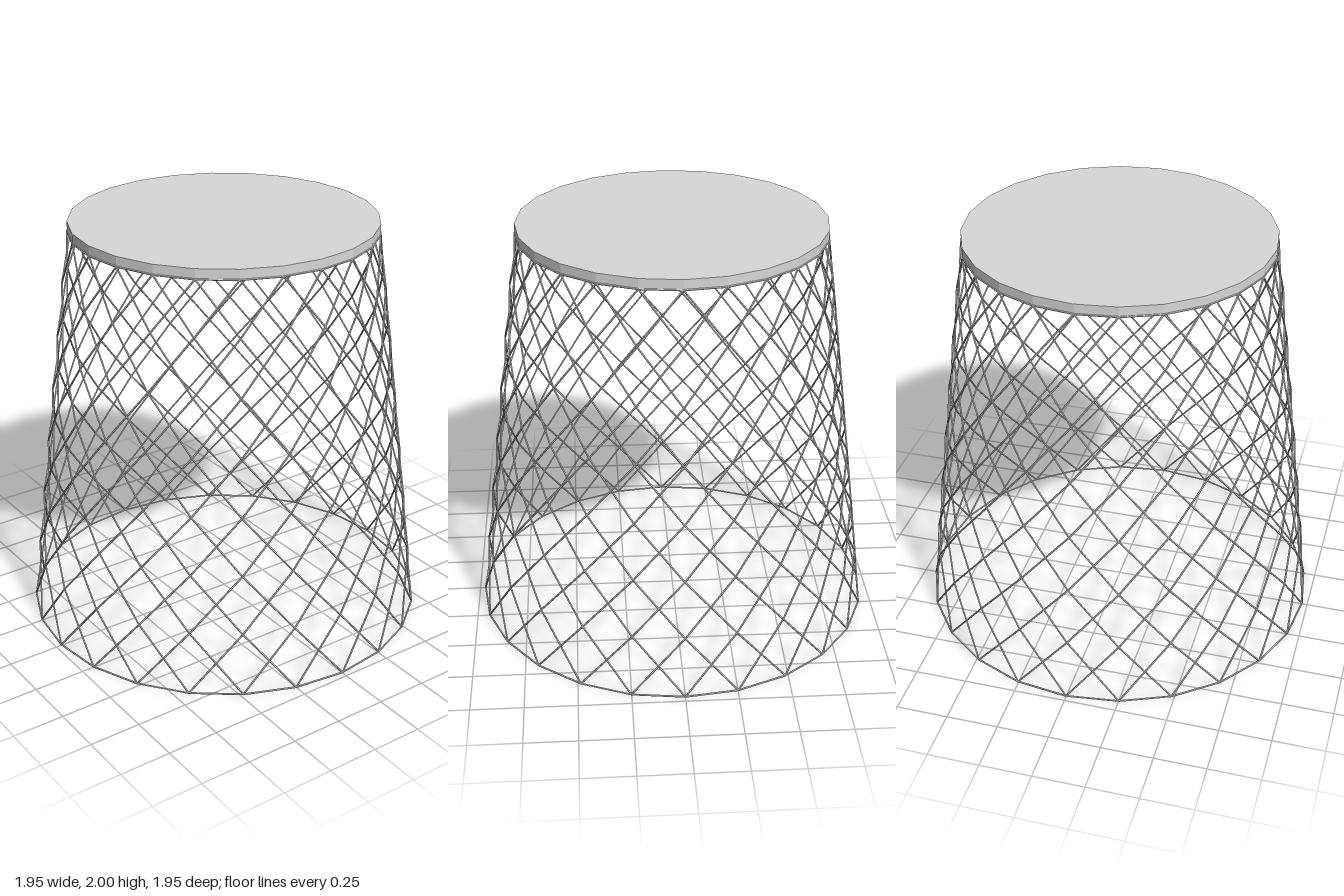
import * as THREE from 'three';

const SIDES = 24;
const WIRE = 0.0045;
// heights of the lattice nodes; the radius shrinks evenly from level to level
const LEVELS = [0.005, 0.31, 0.597, 0.876, 1.154, 1.428, 1.698, 1.952];
const R_BOTTOM = 0.973;
const R_TOP = 0.73;

export function createModel() {
  const model = new THREE.Group();
  // one pale grey for wire and seat, double sided for the open seat rim
  const paleGrey = new THREE.MeshStandardMaterial({
    color: 0xd8d8d8, flatShading: true, side: THREE.DoubleSide,
  });
  paleGrey.name = 'pale grey';

  const up = new THREE.Vector3(0, 1, 0);
  const unitWire = new THREE.CylinderGeometry(WIRE, WIRE, 1, 6);

  // node k on level i
  const node = (i, k) => {
    const a = (k / SIDES) * Math.PI * 2;
    const r = THREE.MathUtils.lerp(R_BOTTOM, R_TOP, i / (LEVELS.length - 1));
    return new THREE.Vector3(Math.sin(a) * r, LEVELS[i], Math.cos(a) * r);
  };

  // straight wire between two points
  const addWire = (parent, name, a, b) => {
    const dir = b.clone().sub(a);
    const wire = new THREE.Mesh(unitWire, paleGrey);
    wire.name = name;
    wire.scale.y = dir.length();
    wire.position.copy(a).lerp(b, 0.5);
    wire.quaternion.setFromUnitVectors(up, dir.normalize());
    parent.add(wire);
  };

  // crossing wires winding both ways around the cone
  const lattice = new THREE.Group();
  lattice.name = 'wireLattice';
  for (let i = 0; i < LEVELS.length - 1; i++) {
    for (let k = 0; k < SIDES; k++) {
      for (const turn of [-1, 1]) {
        addWire(lattice, 'latticeWire', node(i, k), node(i + 1, k + turn));
      }
    }
  }
  model.add(lattice);

  // rings closing the lattice at the floor and under the seat
  for (const [name, i] of [['baseRing', 0], ['topRing', LEVELS.length - 1]]) {
    const ring = new THREE.Group();
    ring.name = name;
    for (let k = 0; k < SIDES; k++) addWire(ring, 'ringWire', node(i, k), node(i, k + 1));
    model.add(ring);
  }

  // seat: a shallow rim, open below, with a flat top
  const rim = new THREE.Mesh(
    new THREE.CylinderGeometry(R_TOP, R_TOP, 0.05, SIDES, 1, true), paleGrey);
  rim.name = 'seatRim';
  rim.position.y = 1.975;
  const top = new THREE.Mesh(new THREE.CircleGeometry(R_TOP, SIDES), paleGrey);
  top.name = 'seatTop';
  top.rotation.x = -Math.PI / 2;
  top.position.y = 2;
  model.add(rim, top);

  return model;
}
